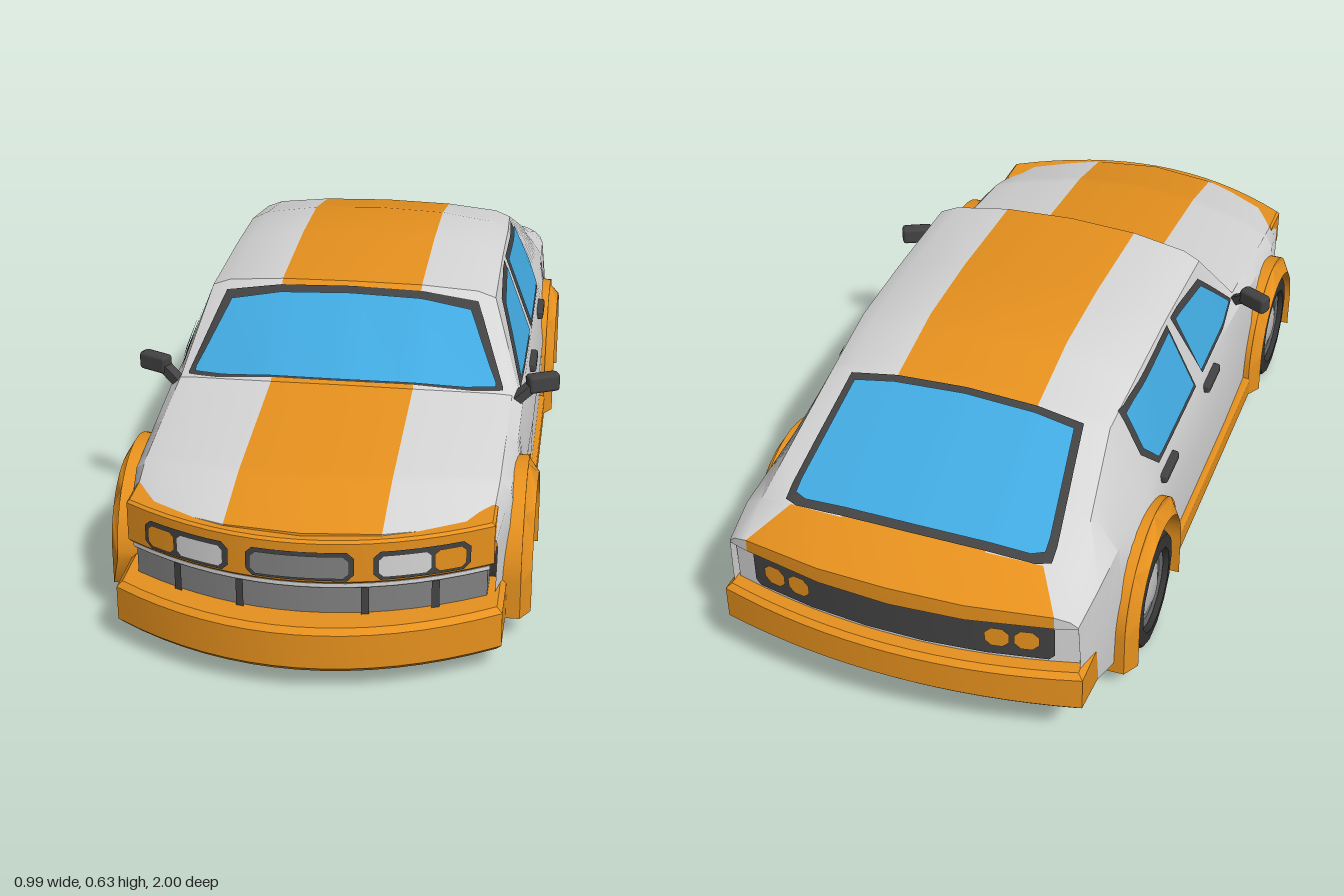
import * as THREE from 'three';
import { toCreasedNormals } from 'three/addons/utils/BufferGeometryUtils.js';
import { RoundedBoxGeometry } from 'three/addons/geometries/RoundedBoxGeometry.js';

const mat = (name, color) => Object.assign(new THREE.MeshStandardMaterial({ color }), { name });

export function createModel() {
  const car = new THREE.Group();
  car.name = 'car';
  const white = mat('body white', 0xd6d6d6), orange = mat('trim orange', 0xe8921e);
  const glass = mat('window blue', 0x42abe2), dark = mat('dark trim', 0x434343);
  const rubber = mat('tyre black', 0x343434), grey = mat('grille grey', 0x818181);
  const rimGrey = mat('rim grey', 0x6a6a6a), silver = mat('hub silver', 0xbcbcbc);

  const add = (name, geo, material, parent = car) => {
    const m = new THREE.Mesh(geo, material);
    m.name = name;
    parent.add(m);
    return m;
  };

  // Body stations: side z, centre z, mid width, belt (w, y), shoulder (w, y), top edge (w, y), stripe y, centre y
  const keys = [
    [0.79, 0.93, 0.394, 0.392, 0.28, 0.38, 0.315, 0.33, 0.33, 0.337, 0.34],
    [0.65, 0.75, 0.422, 0.412, 0.325, 0.388, 0.352, 0.33, 0.364, 0.376, 0.38],
    [0.30, 0.36, 0.432, 0.415, 0.37, 0.39, 0.395, 0.35, 0.402, 0.417, 0.422],
    [0.14, 0.18, 0.435, 0.413, 0.385, 0.337, 0.575, 0.295, 0.592, 0.606, 0.61],
    [-0.12, -0.12, 0.435, 0.413, 0.39, 0.335, 0.583, 0.295, 0.603, 0.622, 0.63],
    [-0.33, -0.33, 0.435, 0.413, 0.39, 0.335, 0.58, 0.295, 0.6, 0.619, 0.626],
    [-0.51, -0.52, 0.432, 0.413, 0.39, 0.328, 0.555, 0.29, 0.57, 0.582, 0.586],
    [-0.82, -0.85, 0.42, 0.408, 0.38, 0.365, 0.41, 0.29, 0.422, 0.43, 0.433],
    [-0.92, -0.985, 0.402, 0.398, 0.36, 0.382, 0.375, 0.35, 0.386, 0.395, 0.4],
  ];
  const arches = [{ z: 0.535, y: 0.14 }, { z: -0.54, y: 0.163 }];
  const cut = 0.165;

  const floorY = (z) => (z < -0.71 ? 0.11 + (-0.71 - z) * 0.15 : 0.07);
  const lowerEdge = (z) => {
    for (const a of arches) {
      const d = Math.abs(z - a.z);
      if (d <= cut + 1e-6) return a.y + Math.sqrt(Math.max(0, cut * cut - d * d));
    }
    return floorY(z);
  };
  const sample = (z) => {
    let i = 0;
    while (i < keys.length - 2 && z < keys[i + 1][0]) i++;
    const t = (z - keys[i][0]) / (keys[i + 1][0] - keys[i][0]);
    return keys[i].map((v, n) => v + (keys[i + 1][n] - v) * t);
  };
  const ring = ([zs, zc, wm, wb, yb, wr, yr, wq, yq, ys, yt], maxY = 9) => {
    const low = lowerEdge(zs), f = floorY(zs);
    const half = [[0, f], [0.31, f], [0.31, low], [wm - 0.004, low], [wm, Math.max(0.26, low + 0.004)],
      [wb, yb], [wr, yr], [wq, yq], [0.165, ys], [0, yt]];
    const pts = half.map(([x, y], n) => new THREE.Vector3(x, Math.min(y, maxY),
      n < 5 ? zs : zc + (zs - zc) * Math.min(1, (x / 0.41) ** 2)));
    const other = pts.slice(0, 9).reverse().map((p) => new THREE.Vector3(-p.x, p.y, p.z));
    return { zs, pts: [...pts, ...other] };
  };

  const zList = keys.map((k) => k[0]);
  for (const a of arches) {
    zList.push(a.z + cut + 0.001, a.z - cut - 0.001);
    for (let i = 0; i <= 14; i++) zList.push(a.z + cut * Math.cos((Math.PI * i) / 14));
  }
  const rings = zList.sort((a, b) => b - a).map((z) => ring(sample(z)));
  // Turn the shell down at the nose and under the tail lip
  const tail = keys[keys.length - 1];
  rings.unshift(ring(keys[0], 0.3));
  rings.push(ring(tail, 0.355), ring([-0.89, -0.945, ...tail.slice(2)], 0.355));

  const faces = [[], []];
  for (let i = 0; i < rings.length - 1; i++) {
    for (let j = 0; j < 18; j++) {
      const h = j < 9 ? j : 17 - j;
      const lid = h === 7 && rings[i].zs <= -0.819;
      const [p, q] = [rings[i].pts, rings[i + 1].pts];
      faces[h < 3 || h === 8 || lid ? 1 : 0].push(p[j], q[j], q[j + 1], p[j], q[j + 1], p[j + 1]);
    }
  }
  let shell = new THREE.BufferGeometry().setFromPoints(faces.flat());
  shell = toCreasedNormals(shell, 0.5);
  shell.addGroup(0, faces[0].length, 0);
  shell.addGroup(faces[0].length, faces[1].length, 1);
  const body = add('bodyShell', shell, [white, orange]);

  // Blocks with a bowed plan outline; s = 1 at the front, -1 at the rear
  const planBlock = (name, material, s, zc, k, w, back, y0, y1, bevel = 0.006, rule = null) => {
    const outline = [new THREE.Vector2(w, -s * back)];
    for (let i = 0; i <= 16; i++) {
      const x = w - (2 * w * i) / 16;
      outline.push(new THREE.Vector2(x, -s * (zc - k * x * x)));
    }
    outline.push(new THREE.Vector2(-w, -s * back));
    const g = new THREE.ExtrudeGeometry(new THREE.Shape(outline), {
      depth: y1 - y0 - 2 * bevel, bevelEnabled: true, bevelSize: bevel, bevelThickness: bevel, bevelSegments: 1,
    });
    g.rotateX(-Math.PI / 2).translate(0, y0 + bevel, 0);
    if (rule) {
      const p = g.attributes.position;
      for (let i = 0; i < p.count; i++) p.setY(i, rule(p.getY(i), p.getZ(i)));
    }
    return add(name, toCreasedNormals(g, 0.5), material);
  };
  const nose = planBlock('noseSurround', orange, 1, 0.945, 0.85, 0.384, 0.74, 0.235, 0.334);
  const intake = planBlock('lowerIntake', grey, 1, 0.92, 0.85, 0.37, 0.74, 0.08, 0.24);
  planBlock('intakeTopStrip', white, 1, 0.938, 0.85, 0.378, 0.74, 0.22, 0.235, 0.003);
  planBlock('frontBumper', orange, 1, 0.988, 0.85, 0.4, 0.725, 0.053, 0.155, 0.012);
  const tailPanel = planBlock('tailPanel', white, -1, 0.952, 0.35, 0.39, 0.74, 0.16, 0.365);
  planBlock('rearBumper', orange, -1, 0.988, 0.35, 0.402, 0.725, 0.1, 0.24, 0.012,
    (y, z) => (y < 0.15 ? y + Math.max(0, -0.72 - z) * 0.16 : y));

  // Thin plates laid on the surface: columns of [u, vLow, vHigh] cast along an axis
  const ray = new THREE.Raycaster();
  const targets = [body, nose, intake, tailPanel];
  const plate = (name, material, axis, s, cols, off) => {
    const N = 5, pos = [], idx = [], columns = [];
    cols.forEach((c, i) => {
      if (i === 0) return columns.push(c);
      for (let n = 1; n <= N; n++) columns.push(c.map((v, m) => cols[i - 1][m] + ((v - cols[i - 1][m]) * n) / N));
    });
    const dir = new THREE.Vector3(axis === 'x' ? -s : 0, axis === 'y' ? -s : 0, axis === 'z' ? -s : 0);
    let last = new THREE.Vector3();
    for (const [u, v0, v1] of columns) {
      for (let r = 0; r <= N; r++) {
        const v = v0 + ((v1 - v0) * r) / N;
        const from = axis === 'x' ? [2 * s, v, u] : axis === 'y' ? [u, 2, v] : [u, v, 2 * s];
        ray.set(new THREE.Vector3(...from), dir);
        const hit = ray.intersectObjects(targets, false)[0];
        if (hit) last = hit.point.clone().addScaledVector(hit.face.normal, off);
        pos.push(last.x, last.y, last.z);
      }
    }
    const flip = axis === 'y' || (axis === 'x' ? s > 0 : s < 0);
    for (let i = 0; i < columns.length - 1; i++) {
      for (let r = 0; r < N; r++) {
        const a = i * (N + 1) + r, b = a + N + 1;
        idx.push(...(flip ? [a, b + 1, b, a, a + 1, b + 1] : [a, b, b + 1, a, b + 1, a + 1]));
      }
    }
    const g = new THREE.BufferGeometry();
    g.setAttribute('position', new THREE.Float32BufferAttribute(pos, 3));
    g.setIndex(idx);
    g.computeVertexNormals();
    return add(name, g, material);
  };
  const both = (half) => [...half, ...half.slice(0, -1).reverse().map(([u, a, b]) => [-u, a, b])];
  const oct = (x0, x1, y0, y1, c) => [[x0, y0 + c, y1 - c], [x0 + c, y0, y1], [x1 - c, y0, y1], [x1, y0 + c, y1 - c]];

  // Windscreen and rear window
  plate('windscreenFrame', dark, 'z', 1, both([[-0.368, 0.405, 0.41], [-0.298, 0.408, 0.572], [-0.165, 0.424, 0.594], [0, 0.428, 0.6]]), 0.003);
  plate('windscreen', glass, 'z', 1, both([[-0.35, 0.412, 0.42], [-0.282, 0.414, 0.556], [-0.165, 0.426, 0.579], [0, 0.43, 0.586]]), 0.007);
  plate('rearWindowFrame', dark, 'y', 1, both([[-0.305, -0.825, -0.79], [-0.274, -0.838, -0.53], [-0.165, -0.843, -0.523], [0, -0.847, -0.52]]), 0.003);
  plate('rearWindow', glass, 'y', 1, both([[-0.286, -0.81, -0.78], [-0.258, -0.822, -0.547], [-0.165, -0.826, -0.54], [0, -0.83, -0.536]]), 0.007);

  // Side windows
  for (const s of [1, -1]) {
    plate('frontSideWindowFrame', dark, 'x', s, [[-0.103, 0.572, 0.577], [-0.05, 0.398, 0.575], [0.105, 0.398, 0.555], [0.268, 0.398, 0.403]], 0.003);
    plate('frontSideWindow', glass, 'x', s, [[-0.088, 0.558, 0.564], [-0.062, 0.41, 0.562], [0.098, 0.41, 0.54], [0.238, 0.41, 0.414]], 0.007);
    plate('rearSideWindowFrame', dark, 'x', s, [[-0.462, 0.455, 0.563], [-0.408, 0.398, 0.567], [-0.132, 0.398, 0.576], [-0.108, 0.398, 0.402]], 0.003);
    plate('rearSideWindow', glass, 'x', s, [[-0.448, 0.462, 0.55], [-0.402, 0.41, 0.554], [-0.142, 0.41, 0.564], [-0.122, 0.41, 0.414]], 0.007);

    // Lamps, front and rear
    const sx = (cols) => (s > 0 ? cols : cols.map(([u, a, b]) => [-u, a, b]).reverse());
    plate('headlampFrame', dark, 'z', 1, sx(oct(0.15, 0.342, 0.245, 0.31, 0.014)), 0.003);
    plate('headlamp', white, 'z', 1, sx(oct(0.16, 0.264, 0.253, 0.302, 0.01)), 0.007);
    plate('indicator', orange, 'z', 1, sx(oct(0.27, 0.332, 0.253, 0.302, 0.01)), 0.007);
    for (const x of [0.13, 0.27]) plate('intakeBar', dark, 'z', 1, sx([[x - 0.008, 0.15, 0.222], [x + 0.008, 0.15, 0.222]]), 0.008);
    for (const x of [0.2, 0.262]) plate('tailLamp', orange, 'z', -1, sx(oct(x, x + 0.052, 0.275, 0.325, 0.014)), 0.008);
  }
  plate('centreGrilleFrame', dark, 'z', 1, oct(-0.112, 0.112, 0.245, 0.31, 0.014), 0.003);
  plate('centreGrille', grey, 'z', 1, oct(-0.102, 0.102, 0.252, 0.303, 0.012), 0.007);
  plate('tailGrille', dark, 'z', -1, oct(-0.345, 0.345, 0.248, 0.347, 0.012), 0.004);

  // Sill and floor
  add('sillAndFloor', new RoundedBoxGeometry(0.892, 0.058, 0.74, 1, 0.008), orange).position.set(0, 0.083, 0);

  // Wheel arch flares, tapering towards the outer edge
  const archGeo = (y) => {
    const R = 0.197, r = 0.16, shape = new THREE.Shape();
    shape.moveTo(R, 0.058 - y);
    shape.absarc(0, 0, R, 0, Math.PI, false);
    shape.lineTo(-R, 0.058 - y);
    shape.lineTo(-r, 0.058 - y);
    shape.absarc(0, 0, r, Math.PI, 0, true);
    shape.lineTo(r, 0.058 - y);
    const g = new THREE.ExtrudeGeometry(shape, { depth: 0.075, bevelEnabled: false, curveSegments: 16 });
    const p = g.attributes.position;
    for (let i = 0; i < p.count; i++) {
      const d = Math.hypot(p.getX(i), Math.max(0, p.getY(i)));
      if (p.getZ(i) > 0.05) p.setZ(i, p.getZ(i) - Math.max(0, d - r) * 0.6);
    }
    return toCreasedNormals(g.rotateY(Math.PI / 2).translate(0.39, 0, 0), 0.6);
  };

  // Wheels
  const lathe = (pts) => toCreasedNormals(
    new THREE.LatheGeometry(pts.map(([r, y]) => new THREE.Vector2(r, y)), 14).rotateZ(-Math.PI / 2).translate(0.315, 0, 0), 0.6);
  const tyreGeo = lathe([[0, 0], [0.125, 0], [0.146, 0.022], [0.146, 0.115], [0.132, 0.139], [0.1, 0.142], [0.094, 0.122]]);
  const rimGeo = lathe([[0.096, 0.115], [0.092, 0.13], [0.075, 0.126], [0.068, 0.118], [0, 0.118]]);
  const hubGeo = lathe([[0.066, 0.115], [0.06, 0.128], [0.03, 0.136], [0, 0.137]]);
  arches.forEach((a, n) => {
    const flare = archGeo(a.y), end = n ? 'rear' : 'front';
    for (const turn of [0, Math.PI]) {
      const f = add(end + 'WheelArch', flare, orange);
      f.position.set(0, a.y, a.z);
      f.rotation.y = turn;
      const wheel = new THREE.Group();
      wheel.name = end + 'Wheel';
      wheel.position.set(0, 0.146, n ? -0.545 : 0.545);
      wheel.rotation.y = turn;
      add('tyre', tyreGeo, rubber, wheel);
      add('rim', rimGeo, rimGrey, wheel);
      add('hub', hubGeo, silver, wheel);
      car.add(wheel);
    }
  });

  // Door handles and mirrors
  for (const s of [1, -1]) {
    for (const z of [-0.005, -0.36]) {
      add('doorHandle', new RoundedBoxGeometry(0.028, 0.024, 0.1, 1, 0.007), dark).position.set(s * 0.42, 0.354, z);
    }
    const arm = add('mirrorArm', new THREE.BoxGeometry(0.055, 0.022, 0.025), dark);
    arm.position.set(s * 0.415, 0.395, 0.287);
    arm.rotation.set(0, s * 0.45, s * 0.6);
    const head = add('mirrorHead', new RoundedBoxGeometry(0.078, 0.044, 0.034, 1, 0.009), dark);
    head.position.set(s * 0.458, 0.415, 0.265);
    head.rotation.y = s * 0.45;
  }
  return car;
}
